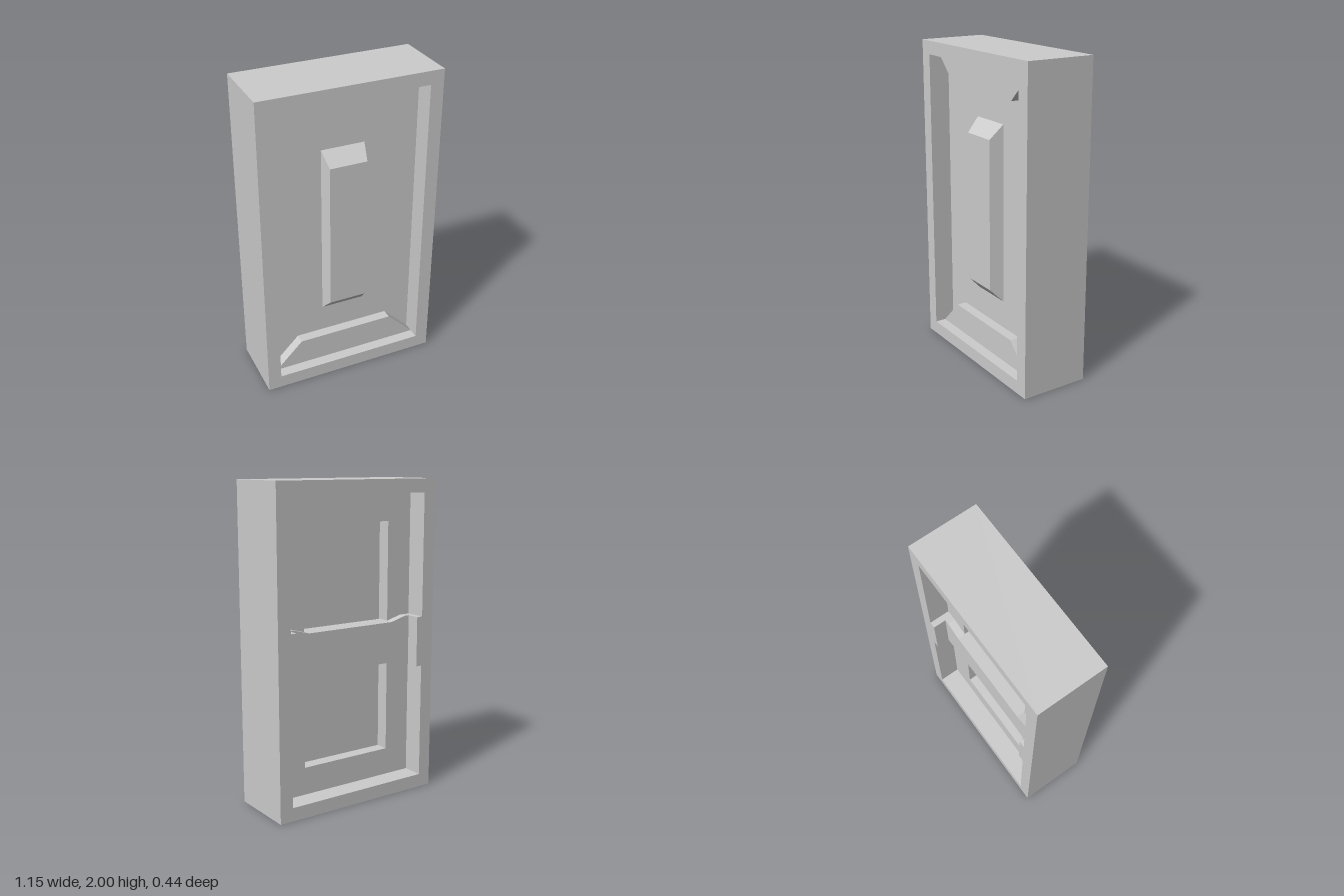
import * as THREE from 'three';

const material = new THREE.MeshStandardMaterial({ color: 0xcccccc, flatShading: true });

// Closed outline from [x, y] corners
const outline = (points, Type = THREE.Shape) =>
  new Type(points.map(([x, y]) => new THREE.Vector2(x, y)));

const rect = (halfWidth, bottom, top) =>
  [[-halfWidth, bottom], [halfWidth, bottom], [halfWidth, top], [-halfWidth, top]];

export function createModel() {
  const group = new THREE.Group();

  const add = (name, geometry) => {
    const mesh = new THREE.Mesh(geometry, material);
    mesh.name = name;
    group.add(mesh);
  };

  // Straight slab between two z planes, with an optional hole
  const slab = (name, points, z0, z1, hole) => {
    const shape = outline(points);
    if (hole) shape.holes.push(outline(hole, THREE.Path));
    const geometry = new THREE.ExtrudeGeometry(shape, { depth: z1 - z0, bevelEnabled: false });
    add(name, geometry.translate(0, 0, z0));
  };

  const opening = rect(0.49, 0.085, 1.915);

  // Outer frame, open at front and back
  slab('frame', rect(0.575, 0, 2), -0.22, 0.22, opening);

  // Recessed panel and the stepped ledge behind it
  slab('panel', opening, 0, 0.085);
  slab('backLedge', opening, -0.085, 0, rect(0.315, 0.26, 1.74));

  // Mitred plates at the bottom and top of the front recess
  const plate = [[-0.49, 0.085], [0.49, 0.085], [0.315, 0.26], [-0.315, 0.26]];
  slab('bottomPlate', plate, 0.085, 0.15);
  slab('topPlate', plate.map(([x, y]) => [x, 2 - y]).reverse(), 0.085, 0.15);

  // Raised front bar: a box whose front face is drawn in
  const bar = new THREE.BoxGeometry(0.28, 1.13, 0.085);
  const p = bar.attributes.position;
  for (let i = 0; i < p.count; i++) {
    if (p.getZ(i) > 0) p.setXY(i, Math.sign(p.getX(i)) * 0.12, Math.sign(p.getY(i)) * 0.478);
  }
  bar.computeVertexNormals();
  add('frontBar', bar.translate(0, 1.003, 0.1275));

  // Rear crossbar, narrower in the middle
  const mid = 0.98;
  const edge = [[-0.49, 0.16], [-0.42, 0.16], [-0.31, 0.13], [0.31, 0.13], [0.42, 0.16], [0.49, 0.16]];
  slab('rearCrossbar', [
    ...edge.map(([x, h]) => [x, mid - h]),
    ...edge.map(([x, h]) => [x, mid + h]).reverse(),
  ], -0.135, 0);

  // Blocks joining the crossbar to the frame
  for (const side of [-1, 1]) {
    const block = new THREE.BoxGeometry(0.04, 0.32, 0.135);
    add(side > 0 ? 'leftCrossbarBlock' : 'rightCrossbarBlock', block.translate(side * 0.47, mid, -0.1525));
  }

  return group;
}
